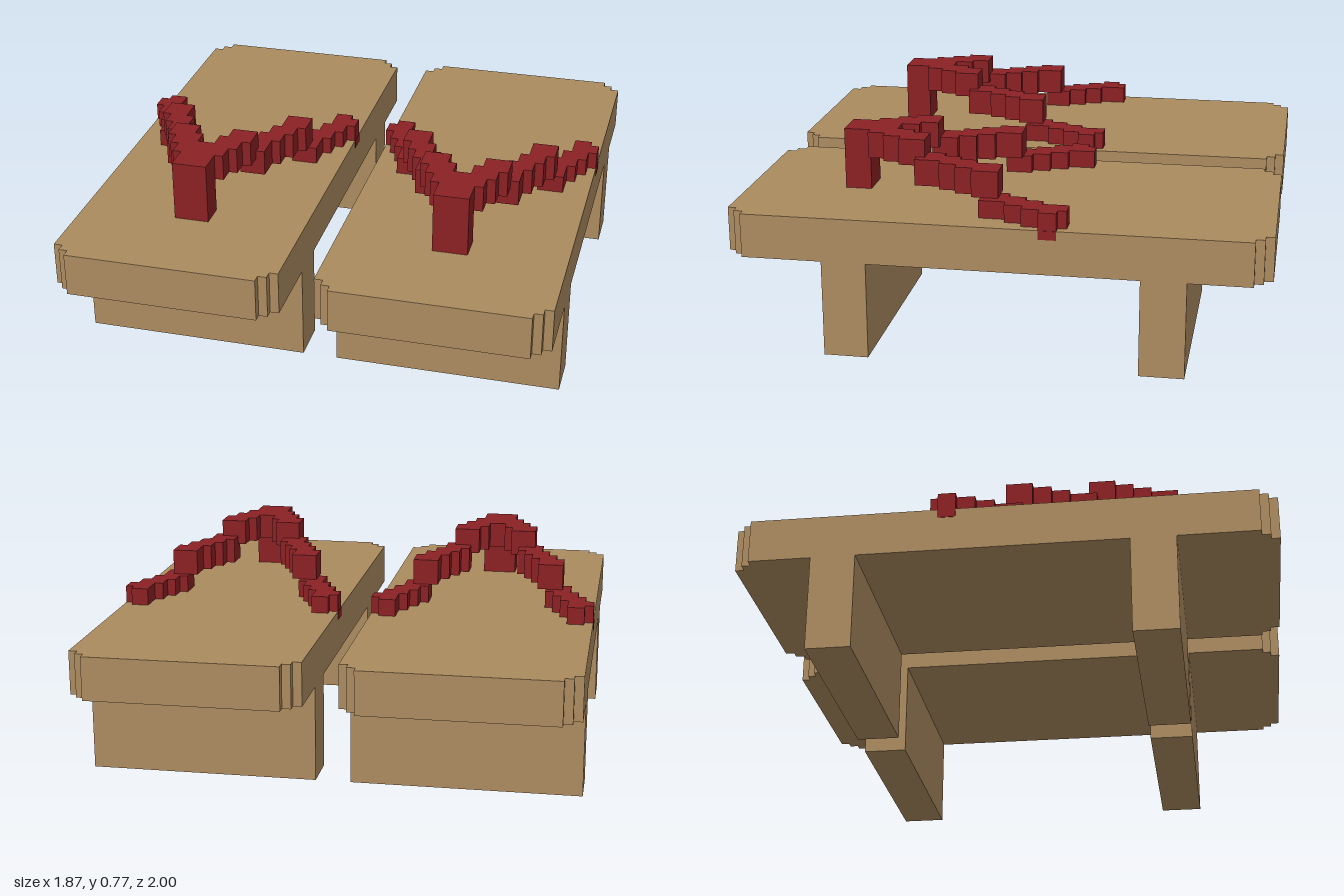
import * as THREE from 'three';

const U = 1 / 30; // one voxel

const wood = new THREE.MeshStandardMaterial({ color: 0xab8b5f });
wood.name = 'wood';
const red = new THREE.MeshStandardMaterial({ color: 0x8b2124 });
red.name = 'red cloth';

// Block from x0..x1, y0..y1, z0..z1 in voxels
function block(name, material, x0, x1, y0, y1, z0, z1) {
  const geo = new THREE.BoxGeometry((x1 - x0) * U, (y1 - y0) * U, (z1 - z0) * U);
  geo.translate((x0 + x1) / 2 * U, (y0 + y1) / 2 * U, (z0 + z1) / 2 * U);
  const mesh = new THREE.Mesh(geo, material);
  mesh.name = name;
  return mesh;
}

// Stepped slab: rows of [z0, z1, x0, x1] in ascending z, raised from y0 to y1
function steppedSlab(name, material, rows, y0, y1, side = 1) {
  const outer = rows.flatMap(([a, b, , x]) => [[x, a], [x, b]]);
  const inner = rows.flatMap(([a, b, x]) => [[x, a], [x, b]]).reverse();
  const points = [...outer, ...inner]
    .filter((p, i, all) => i === 0 || p[0] !== all[i - 1][0] || p[1] !== all[i - 1][1])
    .map(([x, z]) => new THREE.Vector2(side * x * U, -z * U));
  const geo = new THREE.ExtrudeGeometry(new THREE.Shape(points), {
    depth: (y1 - y0) * U, bevelEnabled: false,
  });
  geo.rotateX(-Math.PI / 2);
  geo.translate(0, y0 * U, 0);
  const mesh = new THREE.Mesh(geo, material);
  mesh.name = name;
  return mesh;
}

// Board with stepped corners
const BOARD = [
  [-30, -29, -11, 11], [-29, -28, -12, 12], [-28, 28, -13, 13],
  [28, 29, -12, 12], [29, 30, -11, 11],
];
// Three levels of each strap arm, descending towards the heel
const UPPER = [
  [9, 11, 2, 5], [11, 12, 1, 5], [12, 13, 1, 4],
  [13, 14, 0, 4], [14, 16, 0, 3], [16, 19, 0, 2],
];
const MIDDLE = [[0, 3, 6, 9], [3, 5, 5, 8], [5, 7, 4, 7], [7, 10, 3, 6]];
const LOWER = [
  [-8, -7, 10, 12], [-7, -5, 10, 13], [-5, -3, 9, 12], [-3, -1, 8, 11], [-1, 2, 7, 10],
];

function sandal(name) {
  const g = new THREE.Group();
  g.name = name;
  g.add(steppedSlab('board', wood, BOARD, 11, 16));
  g.add(block('frontTooth', wood, -13, 13, 0, 11, 14, 19));
  g.add(block('backTooth', wood, -13, 13, 0, 11, -21, -16));
  g.add(block('toePost', red, -2, 2, 16, 20, 16, 19));
  for (const s of [1, -1]) {
    const arm = new THREE.Group();
    arm.name = s > 0 ? 'leftStrap' : 'rightStrap';
    arm.add(steppedSlab('upperStrap', red, UPPER, 20, 23, s));
    arm.add(steppedSlab('middleStrap', red, MIDDLE, 18, 21, s));
    arm.add(steppedSlab('lowerStrap', red, LOWER, 16, 18, s));
    // strap end sunk into the edge of the board
    const [x0, x1] = s > 0 ? [12, 13.06] : [-13.06, -12];
    arm.add(block('strapAnchor', red, x0, x1, 15, 16, -7, -5));
    g.add(arm);
  }
  return g;
}

export function createModel() {
  const model = new THREE.Group();
  model.name = 'woodenSandals';
  for (const s of [1, -1]) {
    const shoe = sandal(s > 0 ? 'leftSandal' : 'rightSandal');
    shoe.position.x = s * 15 * U;
    model.add(shoe);
  }
  return model;
}
